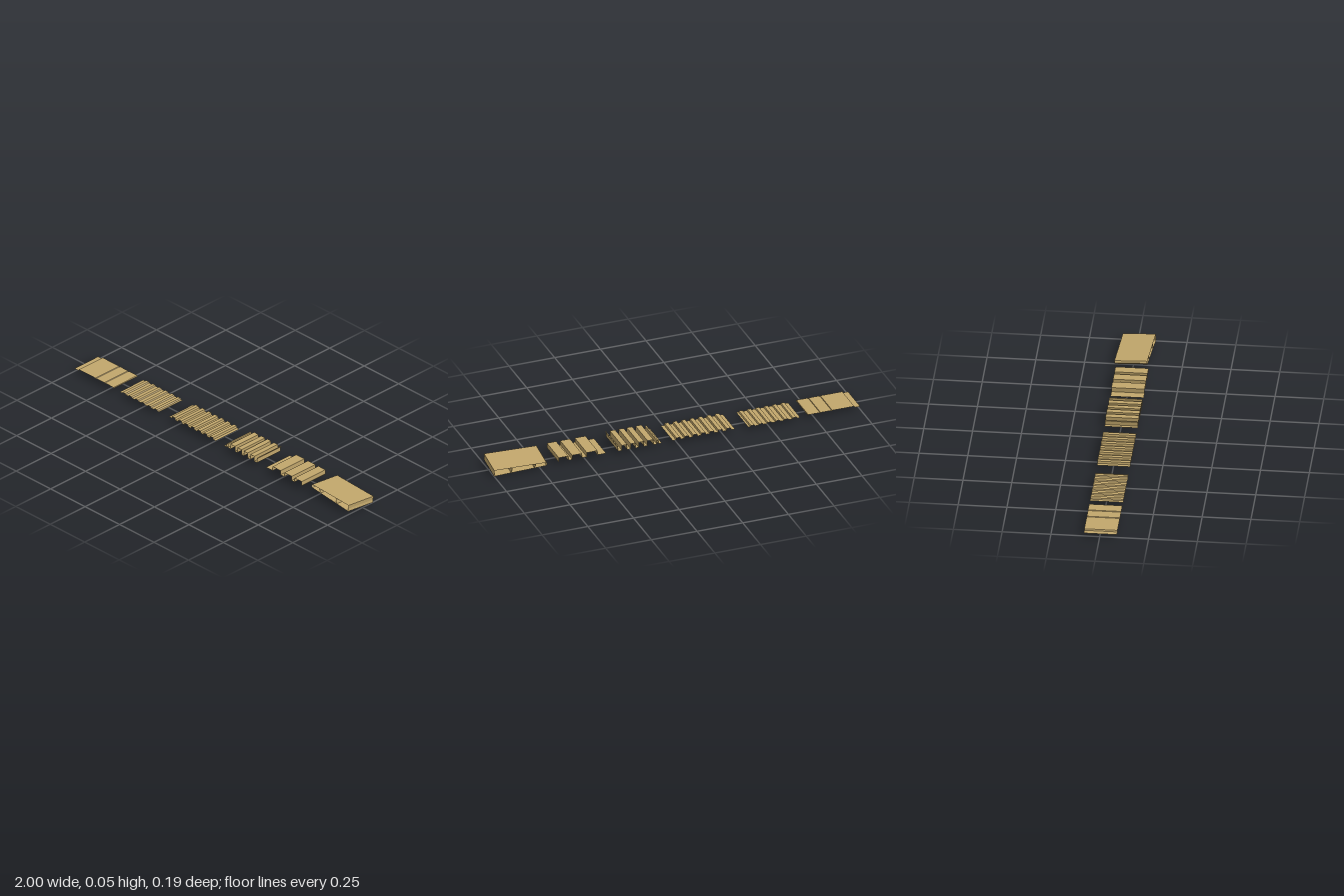
import * as THREE from 'three';

const material = new THREE.MeshStandardMaterial({ color: 0xc2a76c, side: THREE.DoubleSide, flatShading: true });

// Sweep an [x, y] profile along z into a folded thin sheet with sharp creases.
function foldedSheet(name, profile, zBack = -0.082, zFront = 0.088) {
  const positions = [];
  for (let i = 0; i < profile.length - 1; i++) {
    const [x0, y0] = profile[i];
    const [x1, y1] = profile[i + 1];
    const a = [x0, y0, zFront], b = [x1, y1, zFront], c = [x1, y1, zBack], d = [x0, y0, zBack];
    positions.push(...a, ...b, ...c, ...a, ...c, ...d);
  }
  const geometry = new THREE.BufferGeometry();
  geometry.setAttribute('position', new THREE.Float32BufferAttribute(positions, 3));
  geometry.computeVertexNormals();
  const mesh = new THREE.Mesh(geometry, material);
  mesh.name = name;
  return mesh;
}

// Profile with a flat base and one raised rib per [start, end] span.
function ribProfile(start, end, low, high, ribs, slope = 0) {
  const points = [[start, low]];
  for (const [a, b] of ribs) {
    points.push([a, low], [a + slope, high], [b - slope, high], [b, low]);
  }
  points.push([end, low]);
  return points;
}

// Evenly spaced rib spans.
function evenRibs(first, pitch, width, count) {
  return Array.from({ length: count }, (_, i) => [first + i * pitch, first + i * pitch + width]);
}

export function createModel() {
  const group = new THREE.Group();
  group.name = 'profiledPanels';

  // Nearly flat sheet with a lowered joint flange and two fine grooves
  group.add(foldedSheet('flatPanel', [
    [-1, 0.017], [-0.972, 0.017], [-0.968, 0.024],
    [-0.848, 0.024], [-0.846, 0.021], [-0.842, 0.021], [-0.84, 0.024],
    [-0.784, 0.024], [-0.782, 0.021], [-0.778, 0.021], [-0.776, 0.024],
    [-0.717, 0.024], [-0.715, 0.019],
  ]));

  // Shallow ribbed sheet
  group.add(foldedSheet('shallowRibbedPanel',
    ribProfile(-0.672, -0.388, 0.017, 0.023, evenRibs(-0.655, 0.046, 0.026, 6), 0.004)));

  // Medium ribbed sheet
  group.add(foldedSheet('mediumRibbedPanel',
    ribProfile(-0.315, 0.025, 0.02, 0.031, evenRibs(-0.295, 0.046, 0.026, 7), 0.003)));

  // Deep sheet with narrow ribs, starting with a half-height joint
  group.add(foldedSheet('narrowDeepPanel', [
    [0.085, 0.017], [0.104, 0.017], [0.104, 0.038], [0.112, 0.038], [0.112, 0.017],
    ...ribProfile(0.131, 0.324, 0.017, 0.046,
      [[0.131, 0.163], [0.182, 0.211], [0.228, 0.255], [0.275, 0.303]]),
    [0.324, 0.046], [0.33, 0.046],
  ]));

  // Deep sheet with wide ribs
  group.add(foldedSheet('wideDeepPanel', [
    [0.39, 0.018], [0.402, 0.018],
    ...ribProfile(0.41, 0.65, 0.018, 0.042, [[0.437, 0.495], [0.522, 0.575], [0.597, 0.648]]),
  ]));

  // Hollow tapered panel, slightly turned and tilted, open at front and back
  const taper = new THREE.Group();
  taper.name = 'taperedPanel';
  taper.add(foldedSheet('taperedShell', [
    [-0.137, 0], [-0.143, -0.009], [-0.137, -0.018],
    [0.143, -0.035], [0.141, -0.02], [0.143, 0], [-0.137, 0],
  ].reverse(), -0.085, 0.085));
  for (const x of [-0.075, 0.05]) {
    const bottom = -0.018 - (x + 0.137) * 0.061;
    taper.add(foldedSheet('innerWeb', [[x - 0.006, 0], [x + 0.002, bottom]], -0.085, 0.085));
  }
  taper.rotation.set(-0.068, -0.058, 0, 'YXZ');
  taper.position.set(0.853, 0.041, -0.002);
  group.add(taper);

  return group;
}
